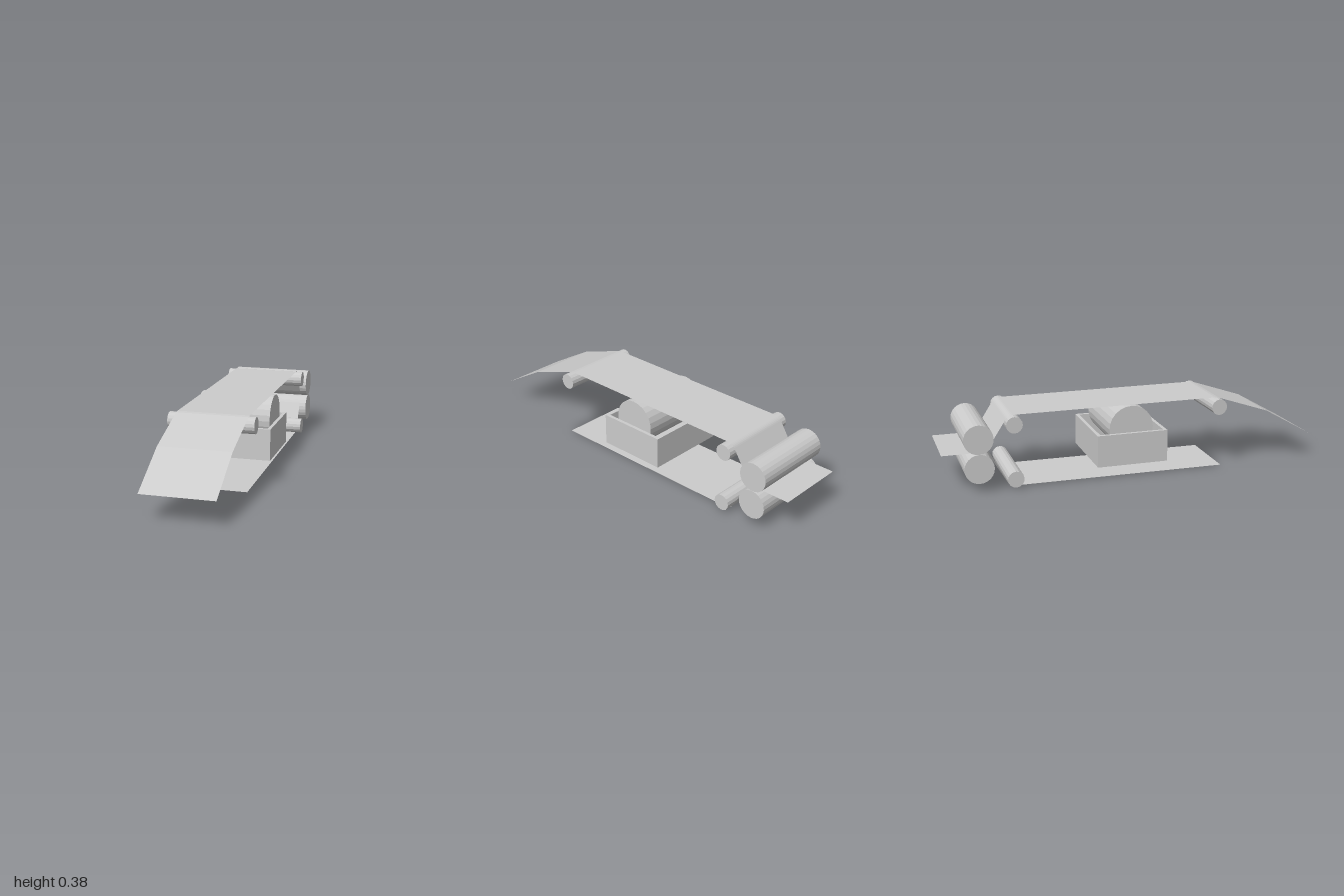
import * as THREE from 'three';

export function createModel() {
  const model = new THREE.Group();
  const mat = new THREE.MeshStandardMaterial({ color: 0xcccccc, flatShading: true });
  const sheetMat = new THREE.MeshStandardMaterial({ color: 0xcccccc, flatShading: true, side: THREE.DoubleSide });

  const add = (name, geo, x, y, z, m = mat) => {
    const mesh = new THREE.Mesh(geo, m);
    mesh.name = name;
    mesh.position.set(x, y, z);
    model.add(mesh);
  };

  const roller = (name, z, y, r, width, sides) =>
    add(name, new THREE.CylinderGeometry(r, r, width, sides).rotateZ(Math.PI / 2), 0, y, z);

  // Guide rollers, pinch rollers and the coating roller
  const guideTop = [-0.64, 0.332], guideLow = [-0.64, 0.05];
  const pinchTop = [-0.82, 0.272], pinchLow = [-0.82, 0.122];
  roller('frontGuideRoller', 0.45, 0.332, 0.042, 0.44, 16);
  roller('upperGuideRoller', ...guideTop, 0.042, 0.44, 16);
  roller('lowerGuideRoller', ...guideLow, 0.042, 0.44, 16);
  roller('upperPinchRoller', ...pinchTop, 0.075, 0.44, 24);
  roller('lowerPinchRoller', ...pinchLow, 0.075, 0.44, 24);
  roller('coatingRoller', -0.03, 0.257, 0.117, 0.396, 24);

  // Open tray under the coating roller
  const w = 0.44, d = 0.376, h = 0.167, t = 0.018, tz = -0.028, ty = 0.068;
  add('trayFloor', new THREE.BoxGeometry(w, t, d), 0, ty + t / 2, tz);
  for (const s of [-1, 1]) {
    add('traySideWall', new THREE.BoxGeometry(t, h, d), s * (w - t) / 2, ty + h / 2, tz);
    add('trayEndWall', new THREE.BoxGeometry(w - 2 * t, h, t), 0, ty + h / 2, tz + s * (d - t) / 2);
  }

  // Sheet path wrapping a guide roller, then a pinch roller on its other side.
  // side is +1 for the upper sheet and -1 for the lower one.
  const wrap = (a, b, side) => {
    const r1 = 0.0435, r2 = 0.075;
    const dz = b[0] - a[0], dy = b[1] - a[1];
    const dir = (Math.atan2(dy, dz) + 2 * Math.PI) % (2 * Math.PI);
    const n = dir - side * Math.acos((r1 + r2) / Math.hypot(dz, dy));
    const arc = (c, r, from, to) => Array.from({ length: 7 }, (_, i) => {
      const ang = from + (to - from) * i / 6;
      return [c[0] + r * Math.cos(ang), c[1] + r * Math.sin(ang)];
    });
    const start = side > 0 ? Math.PI / 2 : Math.PI * 1.5;
    const end = side > 0 ? -Math.PI / 2 : Math.PI / 2;
    return [...arc(a, r1, start, n), ...arc(b, r2, n - Math.PI, end)];
  };

  // Thin sheet swept across the width from a [z, y] path
  const sheet = (name, path) => {
    const geo = new THREE.PlaneGeometry(1, 1, 1, path.length - 1);
    const pos = geo.attributes.position;
    path.forEach(([z, y], i) => {
      pos.setXYZ(2 * i, 0.183, y, z);
      pos.setXYZ(2 * i + 1, -0.183, y, z);
    });
    geo.computeVertexNormals();
    add(name, geo, 0, 0, 0, sheetMat);
  };

  sheet('upperSheet', [[1, 0.132], [0.74, 0.28], [0.46, 0.374], [0.44, 0.377],
    ...wrap(guideTop, pinchTop, 1), [-1, 0.197]]);
  sheet('lowerSheet', [[0.48, 0], ...wrap(guideLow, pinchLow, -1)]);

  return model;
}
